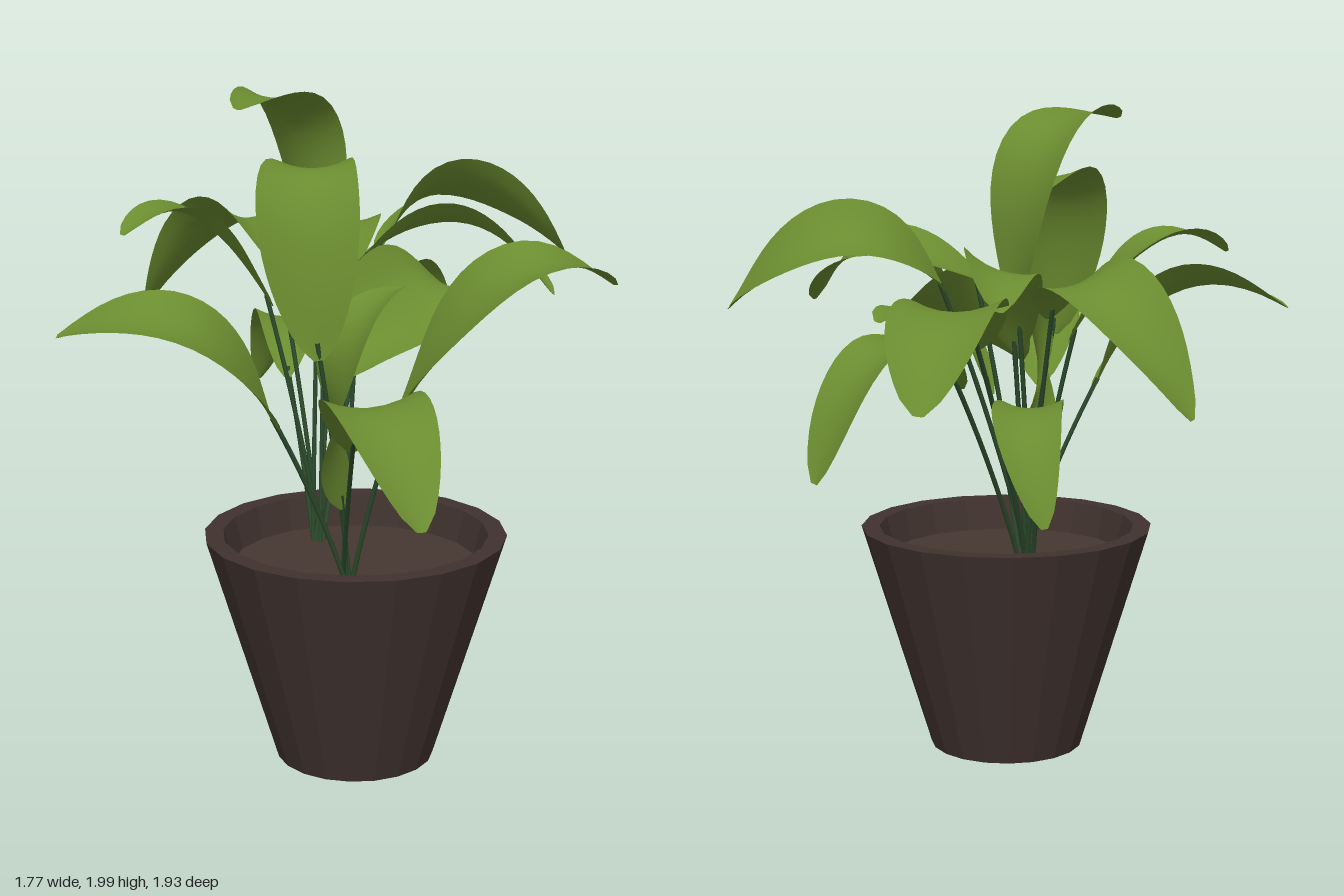
import * as THREE from 'three';

const leafMat = new THREE.MeshStandardMaterial({ color: 0x6b8c30, side: THREE.DoubleSide });
const stemMat = new THREE.MeshStandardMaterial({ color: 0x2c4a2c });
const potMat = new THREE.MeshStandardMaterial({ color: 0x40322e, flatShading: true });
const soilMat = new THREE.MeshStandardMaterial({ color: 0x453631 });

const POT_X = -0.08, POT_Z = 0.145;
const vec = p => new THREE.Vector3(...p);

// Each leaf: base, crown of the arch, tip, width, optional roll about the midrib
const backLeaves = [
  [[0.12, 1.4, -0.31], [0.23, 1.53, -0.67], [0.17, 1.2, -0.96], 0.24, -0.35],
  [[0.35, 1.33, -0.28], [0.62, 1.48, -0.51], [0.86, 1.25, -0.71], 0.29],
  [[0.1, 1.07, -0.28], [0.39, 1.19, -0.55], [0.49, 0.92, -0.75], 0.19],
  [[0.32, 1.2, -0.16], [0.67, 1.36, -0.28], [0.88, 1.01, -0.26], 0.22],
  [[0.31, 1.46, -0.09], [0.6, 1.65, -0.01], [0.83, 1.43, 0.25], 0.25, 0.65],
  [[0.1, 1.47, 0], [0.36, 1.59, 0.19], [0.36, 1.4, 0.53], 0.19, 0.5],
  [[0.09, 1.28, -0.12], [0.27, 1.55, -0.28], [0.45, 1.46, -0.51], 0.23, 0.4],
  [[0.12, 1.38, -0.17], [0.07, 1.88, -0.2], [-0.31, 1.95, -0.1], 0.25],
  [[-0.01, 1.32, -0.24], [-0.19, 1.61, -0.39], [-0.43, 1.57, -0.45], 0.19],
];
const frontLeaves = [
  [[-0.31, 1.27, 0.2], [-0.24, 1.74, 0.1], [0.04, 1.71, -0.08], 0.29],
  [[-0.42, 1.08, 0.14], [-0.68, 1.41, 0.05], [-0.85, 1.36, -0.29], 0.24, 0.45],
  [[-0.43, 1.07, 0.42], [-0.66, 1.29, 0.69], [-0.82, 1.05, 0.96], 0.26],
  [[-0.19, 1.07, 0.36], [-0.06, 1.53, 0.65], [0.25, 1.48, 0.81], 0.24, -0.35],
  [[-0.18, 1.2, 0.2], [0.12, 1.41, 0.19], [0.37, 1.36, 0.18], 0.32, -0.7],
  [[-0.25, 0.83, 0.24], [-0.3, 1.3, 0.28], [-0.07, 1.46, 0.31], 0.23],
];

// Half-width along a leaf: narrow base, broad middle, blunt tip
const outline = t => 0.1 + 0.9 * Math.pow(Math.sin(Math.PI * t), 0.68);

// Arched midrib that passes through the crown halfway along
function midribCurve(base, crown, tip) {
  const control = crown.clone().multiplyScalar(2).addScaledVector(base, -0.5).addScaledVector(tip, -0.5);
  return new THREE.QuadraticBezierCurve3(base, control, tip);
}

// Curved blade: cross-sections swept along the midrib, dished slightly
function bladeGeometry(curve, width, roll) {
  const rows = 20, cols = 6, pos = [], index = [];
  const up = new THREE.Vector3(0, 1, 0);
  const chord = curve.getPoint(1).sub(curve.getPoint(0)).normalize();
  for (let i = 0; i <= rows; i++) {
    const t = i / rows, p = curve.getPointAt(t), tan = curve.getTangentAt(t);
    const side = tan.clone().add(chord).cross(up);
    side.addScaledVector(tan, -side.dot(tan)).normalize().applyAxisAngle(tan, -roll * Math.sin(Math.PI * t));
    const normal = side.clone().cross(tan).normalize();
    const half = width / 2 * outline(t);
    for (let j = 0; j <= cols; j++) {
      const u = j / cols * 2 - 1;
      const v = p.clone().addScaledVector(side, u * half)
        .addScaledVector(normal, half * 0.25 * (u * u - 0.4) + 0.006 * u * Math.sin(t * 9));
      pos.push(v.x, v.y, v.z);
      if (i < rows && j < cols) {
        const a = i * (cols + 1) + j, b = a + cols + 1;
        index.push(a, a + 1, b, a + 1, b + 1, b);
      }
    }
  }
  const g = new THREE.BufferGeometry();
  g.setAttribute('position', new THREE.Float32BufferAttribute(pos, 3));
  g.setIndex(index);
  g.computeVertexNormals();
  return g;
}

function makeLeaf(root, [base, crown, tip, width, roll = 0], i) {
  const group = new THREE.Group();
  group.name = 'leaf' + (i + 1);
  const midrib = midribCurve(vec(base), vec(crown), vec(tip));
  const blade = new THREE.Mesh(bladeGeometry(midrib, width, roll), leafMat);
  blade.name = 'blade';

  // Stem rises from the clump, bowing outwards, and runs on into the blade
  const end = midrib.getPointAt(0.06);
  const start = root.clone().add(new THREE.Vector3(Math.cos(i * 2.4), 0, Math.sin(i * 2.4)).multiplyScalar(0.015));
  const bend = start.clone().lerp(end, 0.38).setY((start.y + end.y) / 2);
  const path = new THREE.QuadraticBezierCurve3(start, bend, end);
  const stem = new THREE.Mesh(new THREE.TubeGeometry(path, 10, 0.007, 6), stemMat);
  stem.name = 'stem';
  group.add(blade, stem);
  return group;
}

function makeClump(name, root, leaves) {
  const clump = new THREE.Group();
  clump.name = name;
  leaves.forEach((leaf, i) => clump.add(makeLeaf(root, leaf, i)));
  return clump;
}

export function createModel() {
  const model = new THREE.Group();
  model.name = 'pottedPlant';

  // Tapered, faceted pot with a thick rim and hollow top
  const profile = [[0, 0], [0.237, 0], [0.45, 0.697], [0.395, 0.697], [0.36, 0.57]];
  const pot = new THREE.Mesh(
    new THREE.LatheGeometry(profile.map(p => new THREE.Vector2(...p)), 20), potMat);
  pot.name = 'pot';
  pot.position.set(POT_X, 0, POT_Z);

  // Soil surface
  const soil = new THREE.Mesh(new THREE.CircleGeometry(0.375, 20), soilMat);
  soil.name = 'soil';
  soil.rotation.x = -Math.PI / 2;
  soil.position.set(POT_X, 0.6, POT_Z);

  model.add(pot, soil,
    makeClump('backClump', new THREE.Vector3(0.01, 0.58, -0.08), backLeaves),
    makeClump('frontClump', new THREE.Vector3(-0.2, 0.58, 0.21), frontLeaves));
  return model;
}
